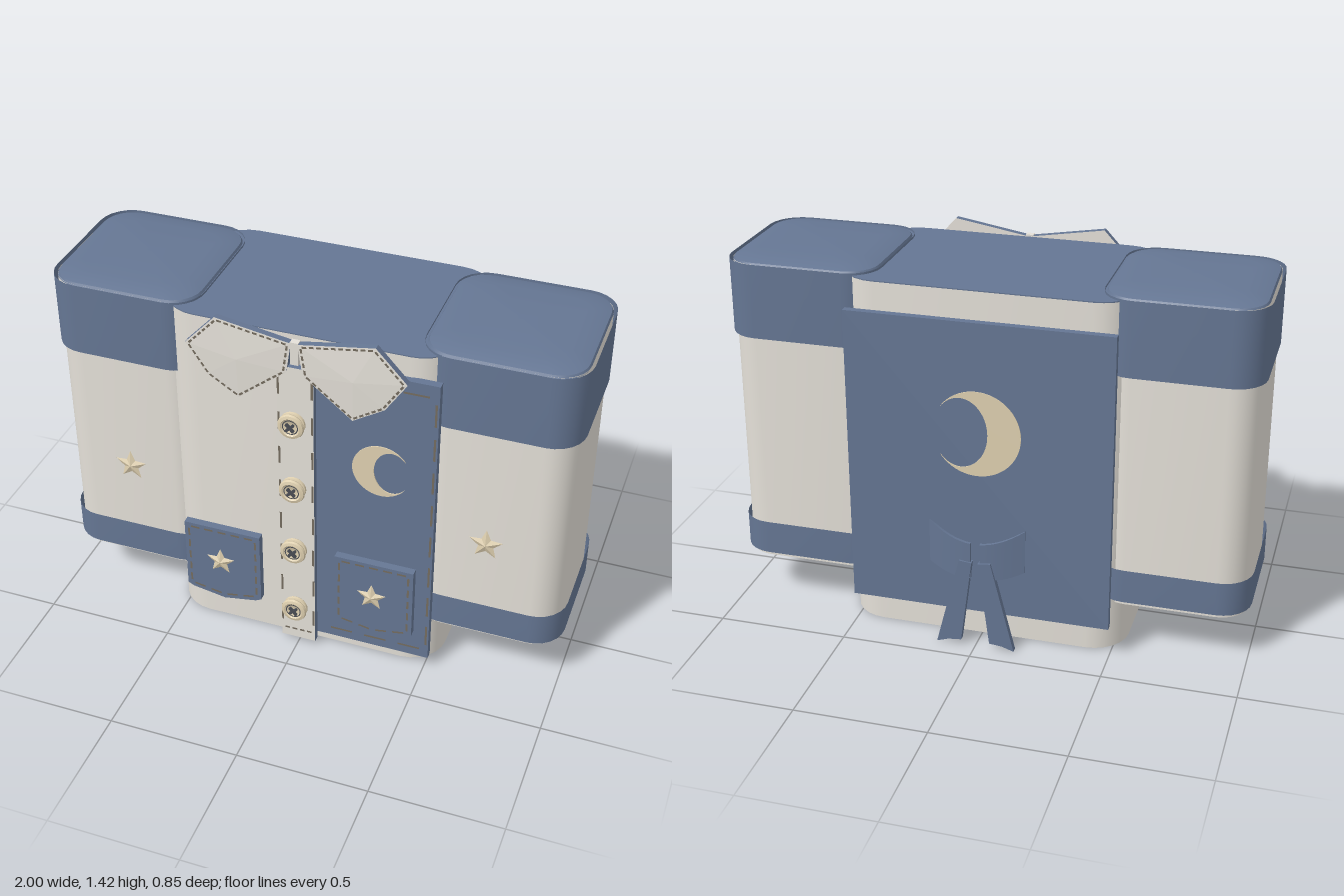
import * as THREE from 'three';
import { mergeGeometries, toCreasedNormals } from 'three/addons/utils/BufferGeometryUtils.js';

const mat = (name, color, side = THREE.FrontSide) => Object.assign(new THREE.MeshStandardMaterial({ color, side }), { name });

export function createModel() {
  const blue = mat('denim blue', 0x657693, THREE.DoubleSide);
  const cream = mat('cream cloth', 0xe4e0d8, THREE.DoubleSide);
  const tan = mat('pale gold', 0xdfd0b0);
  const thread = mat('brown thread', 0x746c5f);
  const dark = mat('button cross', 0x4a4d54);

  const root = new THREE.Group();
  root.name = 'shirt';
  const add = (name, geo, material, x = 0, y = 0, z = 0, parent = root) => {
    const m = new THREE.Mesh(geo, material);
    m.name = name;
    m.position.set(x, y, z);
    parent.add(m);
    return m;
  };

  // Rounded-rectangle tube lofted through [y, scale] levels; lidY closes the top
  function column(w, d, r, levels, lidY) {
    const a = w / 2 - r, b = d / 2 - r, ring = [];
    [[a, b], [-a, b], [-a, -b], [a, -b]].forEach(([cx, cz], q) => {
      for (let i = 0; i <= 6; i++) {
        const t = (q + i / 6) * Math.PI / 2;
        ring.push([cx + r * Math.cos(t), cz + r * Math.sin(t)]);
      }
    });
    const n = ring.length, pos = [], idx = [], L = levels.length;
    levels.forEach(([y, s]) => ring.forEach(([x, z]) => pos.push(x * s, y, z * s)));
    if (lidY) pos.push(0, lidY, 0);
    for (let i = 0; i < n; i++) {
      const j = (i + 1) % n;
      for (let k = 0; k < L - 1; k++) {
        const p = k * n, q = p + n;
        idx.push(p + i, q + i, p + j, p + j, q + i, q + j);
      }
      if (lidY) idx.push(n * L, (L - 1) * n + j, (L - 1) * n + i);
    }
    const g = new THREE.BufferGeometry();
    g.setAttribute('position', new THREE.Float32BufferAttribute(pos, 3));
    g.setIndex(idx);
    return toCreasedNormals(g.toNonIndexed(), 0.5);
  }

  const shapeOf = pts => new THREE.Shape(pts.map(p => new THREE.Vector2(p[0], p[1])));
  const plate = (shape, depth) => new THREE.ExtrudeGeometry(shape, { depth, bevelEnabled: false, curveSegments: 24 });
  const rect = (x0, y0, x1, y1) => [[x0, y0], [x1, y0], [x1, y1], [x0, y1]];

  // Flat dashed seam along a polyline
  function stitches(name, pts, z, dash, gap, closed = false) {
    const parts = [];
    const path = closed ? [...pts, pts[0]] : pts;
    for (let i = 0; i < path.length - 1; i++) {
      const [x0, y0] = path[i], [x1, y1] = path[i + 1];
      const len = Math.hypot(x1 - x0, y1 - y0), n = Math.max(1, Math.round(len / (dash + gap)));
      for (let k = 0; k < n; k++) {
        const t = (k + 0.5) / n;
        const g = new THREE.PlaneGeometry(len / n * dash / (dash + gap), 0.008);
        g.rotateZ(Math.atan2(y1 - y0, x1 - x0));
        g.translate(x0 + (x1 - x0) * t, y0 + (y1 - y0) * t, z);
        parts.push(g);
      }
    }
    add(name, mergeGeometries(parts), thread);
  }

  // Shallow five-pointed star with a raised centre
  function star(name, x, y, z, r) {
    const g = new THREE.ConeGeometry(r, 0.012, 10).rotateX(Math.PI / 2).toNonIndexed();
    const p = g.attributes.position;
    for (let i = 0; i < p.count; i++) {
      if (Math.round(Math.atan2(p.getX(i), p.getY(i)) / (Math.PI / 5)) % 2) {
        p.setXY(i, p.getX(i) * 0.45, p.getY(i) * 0.45);
      }
    }
    g.computeVertexNormals();
    add(name, g, tan, x, y, z);
  }

  // Crescent with long thin horns, opening towards +x
  function crescent(r) {
    const s = new THREE.Shape();
    s.absarc(0, 0, r, 0.65, 2 * Math.PI - 0.65, false);
    s.absellipse(r * 0.37, 0, r * 0.62, r * 0.82, 2 * Math.PI - 0.75, 0.75, true);
    return plate(s, 0.006);
  }

  // Torso, open at the hem
  add('torso', column(1.08, 0.635, 0.14, [[0, 1], [1.378, 1]]), cream, 0, 0, -0.005);
  add('shoulderTop', column(1.08, 0.635, 0.14, [[1.378, 1], [1.382, 1]], 1.382), blue, 0, 0, -0.005);

  for (const s of [-1, 1]) {
    // Sleeves, open below, with shoulder band, domed top and cuff
    add('sleeve', column(0.56, 0.565, 0.11, [[0.19, 1], [1.385, 1]]), cream, s * 0.705, 0, -0.005);
    add('shoulderBand', column(0.585, 0.595, 0.12, [[1.105, 1], [1.39, 1]]), blue, s * 0.705, 0, -0.005);
    add('shoulderDome', column(0.565, 0.57, 0.11, [[1.38, 1], [1.391, 0.98], [1.4, 0.87], [1.406, 0.7]], 1.41), blue, s * 0.702, 0, -0.005);
    add('cuff', column(0.585, 0.595, 0.12, [[0.207, 1], [0.34, 1]]), blue, s * 0.705, 0, -0.005);
    star('sleeveStar', s * 0.7, 0.635, 0.306, 0.066);

    // Pockets
    const pocket = [[-0.153, 0.48], [-0.153, 0.175], [-0.13, 0.163], [0, 0.14], [0.13, 0.163], [0.153, 0.175], [0.153, 0.48]];
    add('pocket', plate(shapeOf(pocket), 0.03), blue, s * 0.303, 0, 0.342);
    const inset = [[-0.135, 0.465], [-0.135, 0.185], [0, 0.16], [0.135, 0.185], [0.135, 0.465]];
    stitches('pocketStitching', inset.map(([x, y]) => [x + s * 0.303, y]), 0.374, 0.035, 0.02, true);
    star('pocketStar', s * 0.303, 0.342, 0.4, 0.06);

    // Collar wings, with a faintly raised centre
    let wing = [[0.012, 1.375], [0.03, 1.253], [0.213, 1.107], [0.33, 1.18], [0.408, 1.298], [0.293, 1.422]];
    if (s < 0) wing = wing.map(([x, y]) => [-x, y]).reverse();
    add('collarWing', plate(shapeOf(wing), 0.025), [cream, blue], 0, 0, 0.341);
    const cx = s * 0.215, cy = 1.27, face = [];
    wing.forEach(([x, y], i) => {
      const [u, v] = wing[(i + 1) % wing.length];
      face.push(cx, cy, 0.374, x, y, 0.3665, u, v, 0.3665);
    });
    const fg = new THREE.BufferGeometry();
    fg.setAttribute('position', new THREE.Float32BufferAttribute(face, 3));
    fg.computeVertexNormals();
    add('collarFace', fg, cream);
    const seam = wing.map(([x, y]) => [cx + (x - cx) * 0.94, cy + (y - cy) * 0.94]);
    stitches('collarStitching', seam, 0.369, 0.018, 0.01, true);
  }
  add('collarKnot', new THREE.BoxGeometry(0.03, 0.09, 0.025), cream, 0, 1.335, 0.354);

  // Front panel and its crescent
  add('frontPanel', plate(shapeOf(rect(0.065, 0.05, 0.515, 1.298)), 0.03), blue, 0, 0, 0.308);
  add('frontMoon', crescent(0.108), tan, 0.313, 0.893, 0.336);
  stitches('panelStitching', [[0.1, 0.09], [0.505, 0.09], [0.505, 1.25], [0.36, 1.25]], 0.34, 0.09, 0.05);

  // Button placket
  add('placket', plate(shapeOf(rect(-0.068, 0.018, 0.068, 1.275)), 0.028), [cream, blue], 0, 0, 0.335);
  for (const x of [-0.063, 0.063]) stitches('placketStitching', [[x, 0.06], [x, 1.27]], 0.365, 0.08, 0.08);
  stitches('placketHem', [[-0.06, 0.06], [0.06, 0.06]], 0.365, 0.018, 0.01);

  // Buttons: two stacked discs with a sunken centre
  const profile = [[0, 0], [0.04, 0], [0.047, 0.008], [0.046, 0.016], [0.034, 0.02], [0.046, 0.024], [0.05, 0.031],
    [0.047, 0.039], [0.036, 0.042], [0.03, 0.037], [0, 0.037]].map(([x, y]) => new THREE.Vector2(x, y));
  const buttonGeo = toCreasedNormals(new THREE.LatheGeometry(profile, 24).rotateX(Math.PI / 2), 0.7);
  const ringGeo = new THREE.RingGeometry(0.026, 0.03, 24);
  const barGeo = new THREE.BoxGeometry(0.04, 0.009, 0.01);
  for (const y of [0.2, 0.487, 0.773, 1.06]) {
    const button = new THREE.Group();
    button.name = 'button';
    button.position.set(0, y, 0.378);
    root.add(button);
    add('buttonDisc', buttonGeo, tan, 0, 0, 0, button);
    add('buttonRing', ringGeo, dark, 0, 0, 0.0385, button);
    for (const a of [-1, 1]) add('buttonThread', barGeo, dark, 0, 0, 0.042, button).rotation.z = a * Math.PI / 4;
  }

  // Back panel and its crescent
  add('backPanel', plate(shapeOf(rect(-0.5, 0.13, 0.493, 1.285)), 0.028), blue, 0, 0, -0.385);
  add('backMoon', crescent(0.165), tan, 0, 0.862, -0.388);

  // Bow on the back: curved loops and hanging tails
  for (const s of [-1, 1]) {
    const loop = new THREE.BoxGeometry(0.165, 0.17, 0.012, 8, 1, 1);
    const p = loop.attributes.position;
    for (let i = 0; i < p.count; i++) {
      const u = 0.5 + s * p.getX(i) / 0.165;
      p.setY(i, p.getY(i) * (0.85 + 0.15 * u) + 0.05 * u * u);
      p.setZ(i, p.getZ(i) - 0.03 * Math.sin(Math.PI / 2 * (1 - u)));
    }
    loop.computeVertexNormals();
    add('bowLoop', loop, blue, s * 0.1, 0.36, -0.384);
    let tail = [[0.012, 0.355], [0.055, 0.02], [0.105, 0.015], [0.15, 0.0], [0.06, 0.36]];
    if (s < 0) tail = tail.map(([x, y]) => [-x, y]);
    add('bowTail', plate(shapeOf(tail), 0.024), blue, 0, 0, -0.426);
  }

  return root;
}
